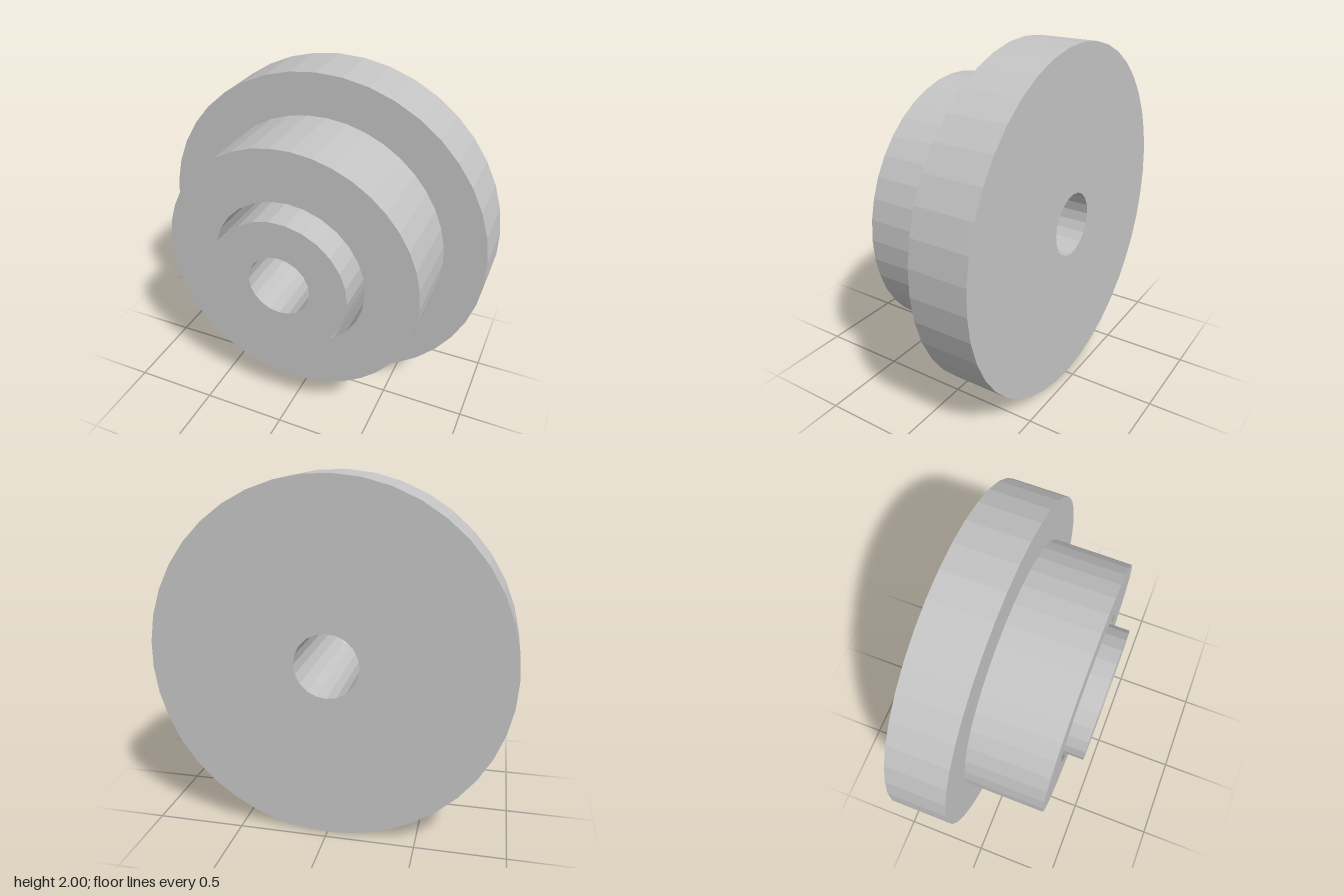
import * as THREE from 'three';

const grey = new THREE.MeshStandardMaterial({ color: 0xc4c4c4 });
grey.name = 'grey';

// Points of a regular polygon with its first corner at the given angle
function polygon(radius, sides, start) {
  return Array.from({ length: sides }, (_, i) => {
    const a = start + (i / sides) * Math.PI * 2;
    return new THREE.Vector2(Math.cos(a) * radius, Math.sin(a) * radius);
  });
}

// Faceted ring along z, from back to front; outer and inner are [radius, sides, start]
function ring(name, outer, inner, back, front) {
  const shape = new THREE.Shape(polygon(...outer));
  shape.holes.push(new THREE.Path(polygon(...inner)));
  const geometry = new THREE.ExtrudeGeometry(shape, { depth: front - back, bevelEnabled: false });
  geometry.translate(0, 1, back);
  const mesh = new THREE.Mesh(geometry, grey);
  mesh.name = name;
  return mesh;
}

export function createModel() {
  const group = new THREE.Group();
  group.name = 'steppedWheel';
  const bore = [0.182, 20, 0];
  const step = -0.115;

  group.add(
    // Wide disc at the back, pierced by the axle bore
    ring('flange', [1, 41, Math.PI], bore, -0.453, step),
    // Middle drum, hollowed to leave a narrow groove around the hub
    ring('drum', [0.755, 41, 0], [0.455, 28, 0], step, 0.34),
    // Hub standing proud of the drum
    ring('hub', [0.398, 26, 0], bore, step, 0.453),
  );
  return group;
}
